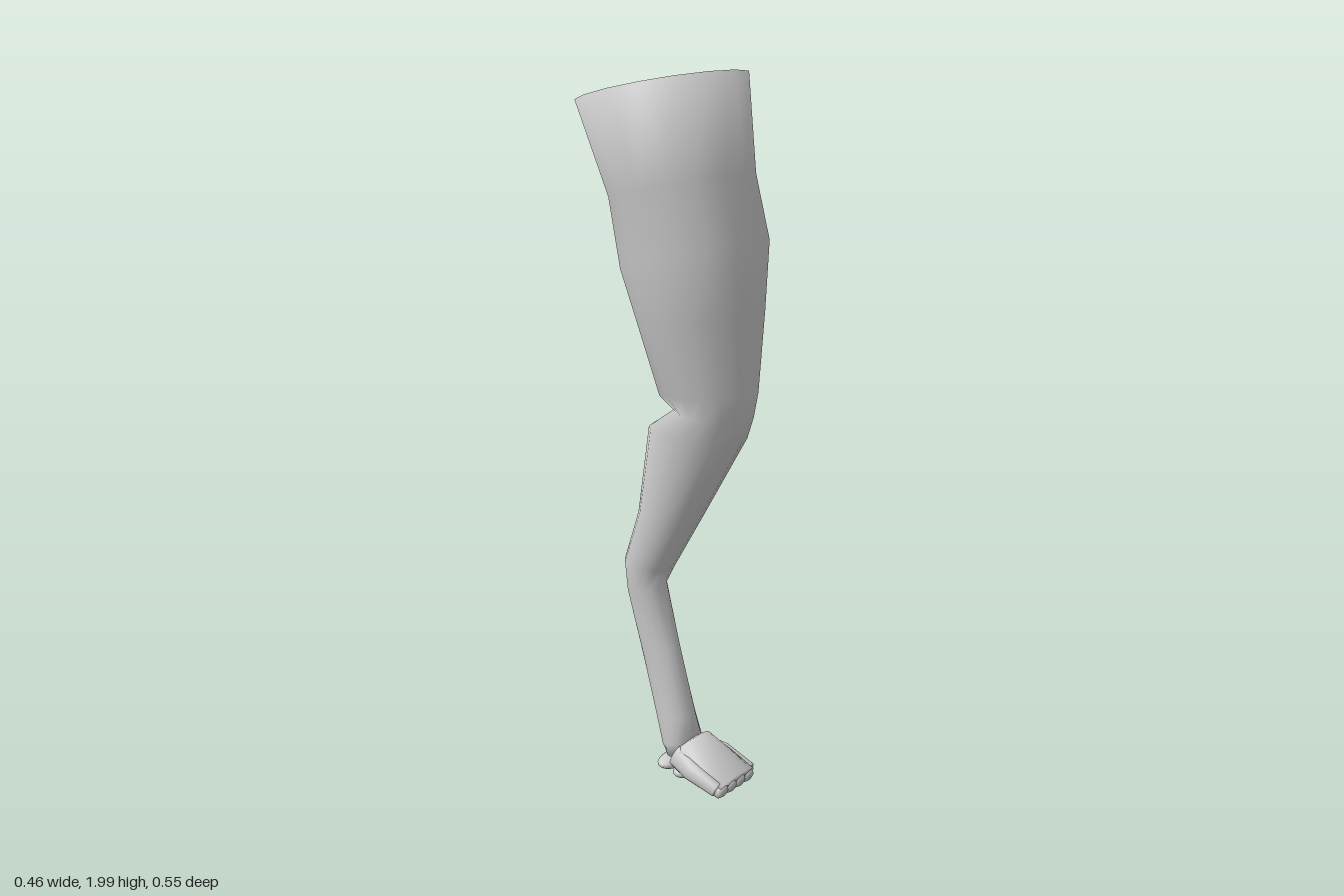
import * as THREE from 'three';

const SIDES = 16;

// Smooth closed tube through oval rings: [centre x, z1, y1, z2, y2, half width],
// where (z1, y1) and (z2, y2) are the two ends of the oval in the side plane.
function loft(rings) {
  const pos = [], idx = [];
  for (const [cx, z1, y1, z2, y2, w] of rings) {
    for (let j = 0; j < SIDES; j++) {
      const a = (j / SIDES) * Math.PI * 2;
      const k = (1 + Math.cos(a)) / 2;
      pos.push(cx + Math.sin(a) * w, y2 + (y1 - y2) * k, z2 + (z1 - z2) * k);
    }
  }
  for (let i = 0; i < rings.length - 1; i++) {
    for (let j = 0; j < SIDES; j++) {
      const n = (j + 1) % SIDES;
      const a = i * SIDES + j, b = i * SIDES + n;
      idx.push(a, a + SIDES, b, b, a + SIDES, b + SIDES);
    }
  }
  // End caps share the rim vertices, so the shading rolls over the edge
  [0, rings.length - 1].forEach((r, end) => {
    const [cx, z1, y1, z2, y2] = rings[r];
    const c = pos.length / 3;
    pos.push(cx, (y1 + y2) / 2, (z1 + z2) / 2);
    for (let j = 0; j < SIDES; j++) {
      const a = r * SIDES + j, b = r * SIDES + (j + 1) % SIDES;
      if (end) idx.push(c, b, a); else idx.push(c, a, b);
    }
  });
  const g = new THREE.BufferGeometry();
  g.setAttribute('position', new THREE.Float32BufferAttribute(pos, 3));
  g.setIndex(idx);
  g.computeVertexNormals();
  return g;
}

export function createModel() {
  const model = new THREE.Group();
  model.name = 'animalLeg';
  const grey = new THREE.MeshStandardMaterial({ color: 0xcccccc });
  grey.name = 'grey';

  const add = (name, geometry, parent = model) => {
    const mesh = new THREE.Mesh(geometry, grey);
    mesh.name = name;
    parent.add(mesh);
    return mesh;
  };

  // Thigh, creased knee, shin, hock and ankle in one skin
  add('leg', loft([
    [0, 0.195, 2.0, -0.277, 1.91, 0.228],
    [0, 0.23, 1.74, -0.18, 1.66, 0.186],
    [0, 0.275, 1.57, -0.14, 1.47, 0.19],
    [0, 0.27, 1.38, -0.085, 1.31, 0.158],
    [0, 0.26, 1.16, -0.03, 1.14, 0.118],
    [0, 0.246, 1.09, 0.03, 1.105, 0.108],
    [0, 0.23, 1.03, -0.07, 1.04, 0.104],
    [-0.006, 0.11, 0.82, -0.11, 0.78, 0.075],
    [-0.012, -0.005, 0.62, -0.16, 0.63, 0.058],
    [-0.012, -0.03, 0.575, -0.148, 0.54, 0.053],
    [-0.012, 0.02, 0.4, -0.1, 0.36, 0.043],
    [-0.012, 0.075, 0.2, -0.045, 0.18, 0.05],
    [-0.012, 0.095, 0.13, -0.018, 0.1, 0.058],
    [-0.012, 0.05, 0.07, 0.0, 0.075, 0.045],
  ]));

  // Paw
  const paw = new THREE.Group();
  paw.name = 'paw';
  paw.position.x = -0.014;
  model.add(paw);

  add('instep', loft([
    [0, 0.075, 0.13, 0.04, 0.075, 0.05],
    [0, 0.105, 0.15, 0.055, 0.06, 0.072],
    [0, 0.17, 0.112, 0.13, 0.045, 0.08],
    [0, 0.244, 0.067, 0.228, 0.03, 0.08],
  ]), paw);

  // Toes: four beneath the instep, one higher on each side
  for (const x of [-0.062, -0.021, 0.021, 0.062]) {
    add('toe', loft([
      [x * 0.8, 0.07, 0.1, 0.05, 0.055, 0.015],
      [x, 0.15, 0.08, 0.13, 0.03, 0.022],
      [x, 0.235, 0.055, 0.22, 0.01, 0.022],
      [x, 0.243, 0.046, 0.232, 0.018, 0.014],
    ]), paw);
  }
  for (const s of [-1, 1]) {
    add('sideToe', loft([
      [s * 0.055, 0.07, 0.12, 0.04, 0.06, 0.016],
      [s * 0.078, 0.14, 0.1, 0.115, 0.045, 0.021],
      [s * 0.08, 0.23, 0.062, 0.212, 0.022, 0.019],
    ]), paw);
  }

  // Pads under the paw: [name, x, y, z, x radius, y radius, z radius]
  for (const [name, x, y, z, rx, ry, rz] of [
    ['heelPad', 0, 0.044, 0.01, 0.062, 0.02, 0.038],
    ['toePad', -0.05, 0.04, 0.075, 0.022, 0.014, 0.026],
    ['toePad', 0, 0.032, 0.09, 0.022, 0.014, 0.026],
    ['toePad', 0.05, 0.04, 0.075, 0.022, 0.014, 0.026],
  ]) {
    const pad = add(name, new THREE.SphereGeometry(1, 16, 10), paw);
    pad.scale.set(rx, ry, rz);
    pad.position.set(x, y, z);
  }

  return model;
}
